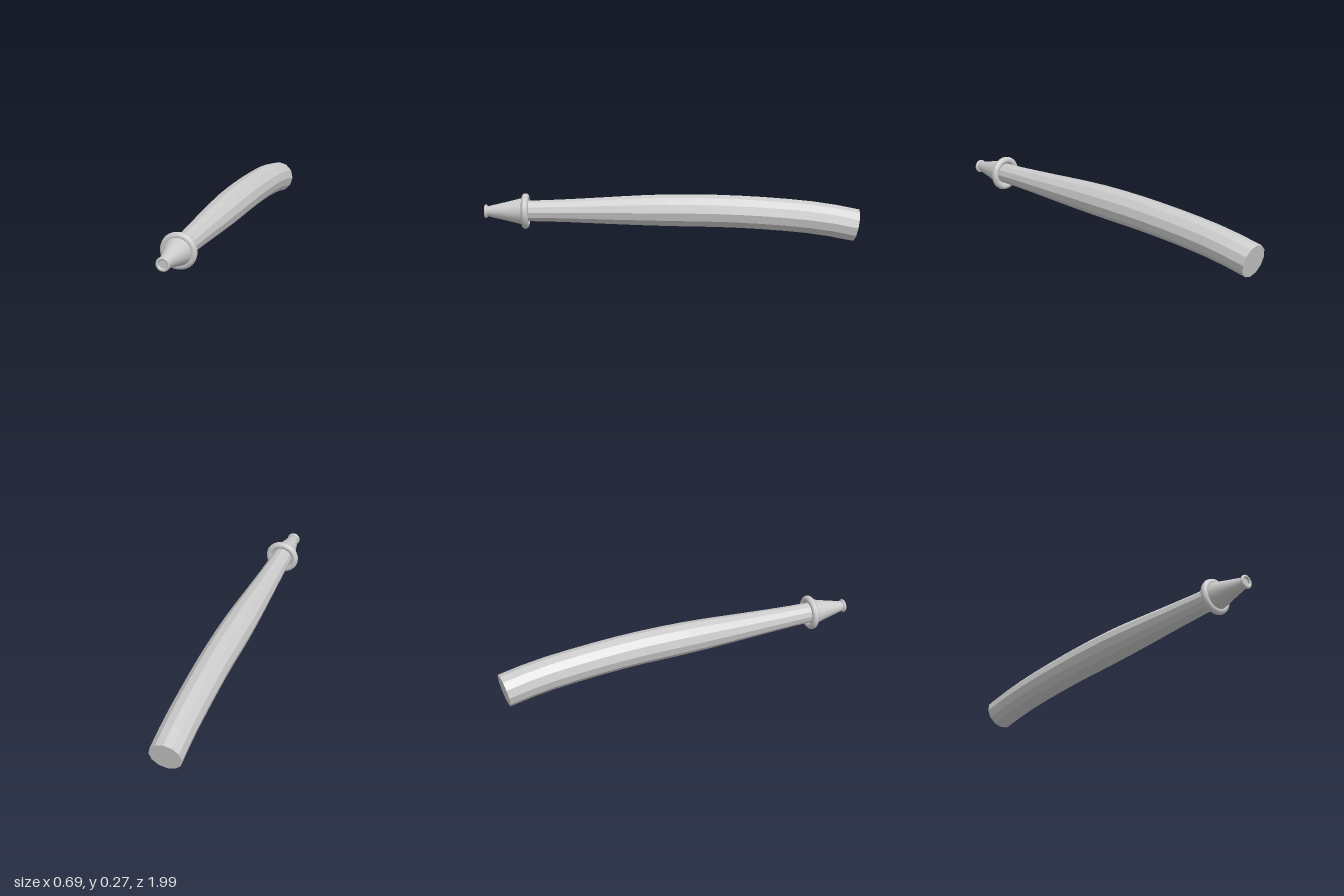
import * as THREE from 'three';

const V = (x, y, z) => new THREE.Vector3(x, y, z);
const SIDES = 12, RINGS = 14;

// Bent, tapering hose: a cylinder swept along a curve
function makeHose() {
  const path = new THREE.CatmullRomCurve3([
    V(-0.262, 0.088, -0.967), V(-0.21, 0.123, -0.8), V(-0.15, 0.148, -0.6),
    V(-0.06, 0.17, -0.3), V(0.025, 0.177, 0), V(0.14, 0.177, 0.4), V(0.252, 0.177, 0.78),
  ]);
  // Radius stays full to the middle, then narrows to the nozzle
  const radiusAt = (z) => 0.09 - 0.034 * THREE.MathUtils.smoothstep(z, -0.1, 0.85);

  const geo = new THREE.CylinderGeometry(1, 1, 1, SIDES, RINGS);
  const pos = geo.attributes.position;
  for (let i = 0; i < pos.count; i++) {
    const t = THREE.MathUtils.clamp(pos.getY(i) + 0.5, 0, 1);
    const c = path.getPointAt(t);
    const tan = path.getTangentAt(t);
    const side = V(0, 1, 0).cross(tan).normalize();
    const up = tan.clone().cross(side);
    const r = radiusAt(c.z);
    c.addScaledVector(up, pos.getX(i) * r).addScaledVector(side, pos.getZ(i) * r);
    pos.setXYZ(i, c.x, c.y, c.z);
  }
  geo.computeVertexNormals();
  return geo;
}

export function createModel() {
  const model = new THREE.Group();
  model.name = 'hose';
  const smooth = new THREE.MeshStandardMaterial({ color: 0xcccccc });
  const faceted = new THREE.MeshStandardMaterial({ color: 0xcccccc, flatShading: true });

  const add = (parent, name, geo, mat) => {
    const mesh = new THREE.Mesh(geo, mat);
    mesh.name = name;
    parent.add(mesh);
    return mesh;
  };

  add(model, 'hoseBody', makeHose(), faceted);

  // Nozzle, built along +z and turned to follow the hose
  const nozzle = new THREE.Group();
  nozzle.name = 'nozzle';
  nozzle.position.set(0.25, 0.176, 0.77);
  nozzle.rotation.y = 0.28;
  model.add(nozzle);

  add(nozzle, 'collarRing', new THREE.TorusGeometry(0.078, 0.0195, 12, 32), smooth);

  const cone = new THREE.LatheGeometry(
    [[0.077, 0], [0.052, 0.1], [0.027, 0.208]].map(([r, h]) => new THREE.Vector2(r, h)), 24);
  add(nozzle, 'nozzleCone', cone.rotateX(Math.PI / 2), smooth);

  // Disc closing the back of the cone around the hose
  const back = add(nozzle, 'nozzleBack', new THREE.CircleGeometry(0.077, 24), smooth);
  back.rotation.y = Math.PI;

  const tip = add(nozzle, 'tipRing', new THREE.TorusGeometry(0.029, 0.0085, 10, 24), smooth);
  tip.position.z = 0.215;

  // Face of the bore inside the tip ring
  const bore = add(nozzle, 'boreFace', new THREE.CircleGeometry(0.027, 24), smooth);
  bore.position.z = 0.208;

  return model;
}
